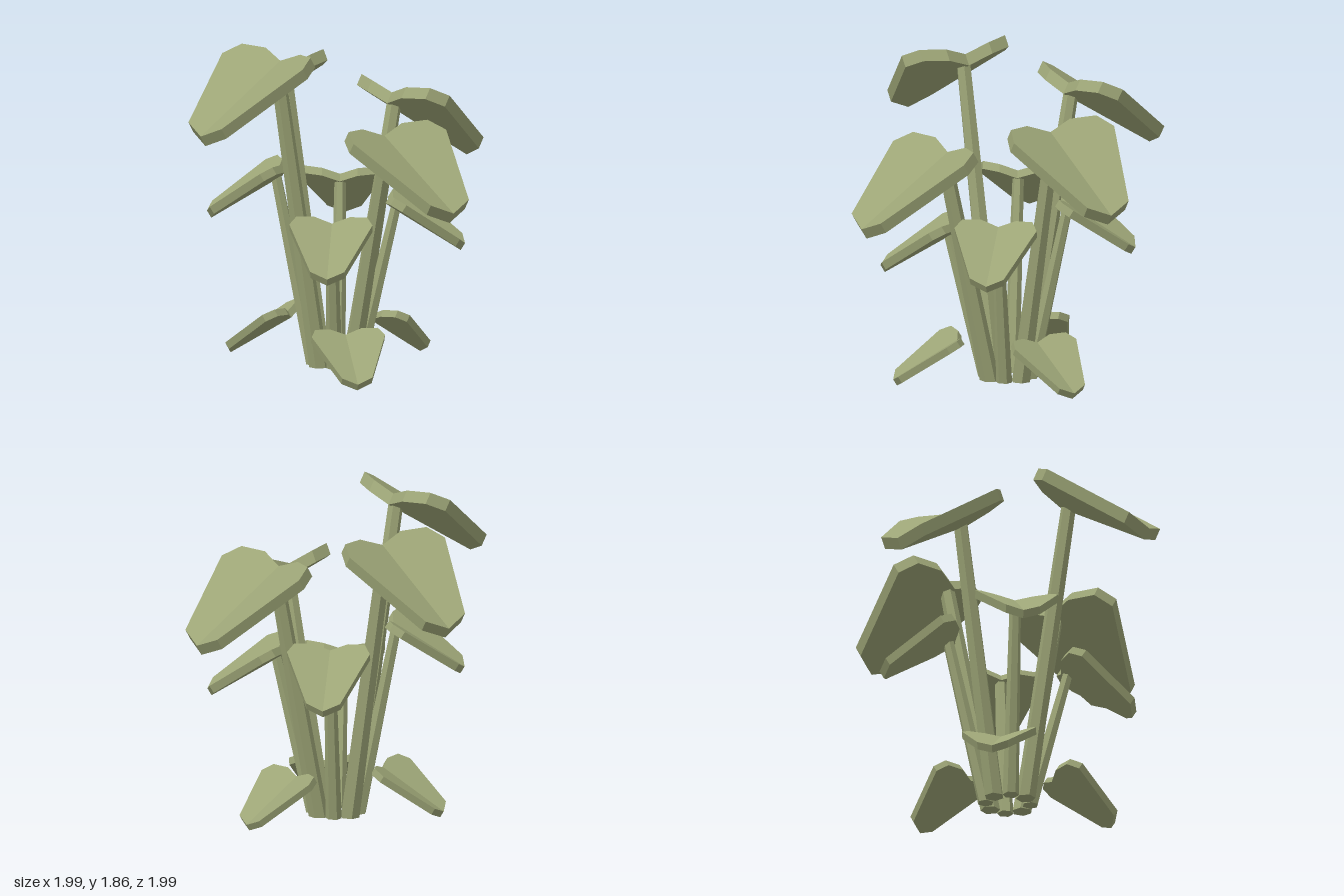
import * as THREE from 'three';

const green = new THREE.MeshStandardMaterial({ color: 0x9ca476, flatShading: true });
green.name = 'sage green';

// Heart leaf folded along its midrib, drooping towards +z; highest point at y = 0
function leafGeometry() {
  const half = [[0, 0.41], [0.145, 0.39], [0.29, 0.44], [0.34, 0.54], [0.14, 0.963], [0, 0.995]];
  const loop = [...half, ...half.slice(1, 5).reverse().map(([x, r]) => [-x, r])];
  const n = loop.length;
  const top = loop.map(([x, r]) => [x, 0.2 - 0.612 * r + 0.27 * Math.abs(x), r]);
  const bottom = top.map(([x, y, r]) => [x, y - 0.058, r - 0.035]);
  const index = [];
  // Both faces fan out from the notch, so the fold runs notch to tip
  for (let i = 1; i < n - 1; i++) {
    index.push(0, i + 1, i, n, n + i, n + i + 1);
  }
  // Rim
  for (let i = 0; i < n; i++) {
    const j = (i + 1) % n;
    index.push(i, j, n + j, i, n + j, n + i);
  }
  const g = new THREE.BufferGeometry();
  g.setAttribute('position', new THREE.Float32BufferAttribute([...top, ...bottom].flat(), 3));
  g.setIndex(index);
  const flat = g.toNonIndexed();
  flat.computeVertexNormals();
  return flat;
}

// Six-sided tapered stem, leaning outward by shear so its base stays level
function stemGeometry(topY, topR, radiusTop, radiusBase) {
  const baseY = 0.05, baseR = 0.125, height = topY - baseY;
  const g = new THREE.CylinderGeometry(radiusTop, radiusBase, height, 6);
  g.rotateY(Math.PI / 6);
  g.translate(0, height / 2, 0);
  const p = g.attributes.position;
  for (let i = 0; i < p.count; i++) {
    p.setZ(i, p.getZ(i) + baseR + (topR - baseR) * p.getY(i) / height);
  }
  g.translate(0, baseY, 0);
  const flat = g.toNonIndexed();
  flat.computeVertexNormals();
  return flat;
}

export function createModel() {
  const model = new THREE.Group();
  model.name = 'leafyPlant';
  const leaf = leafGeometry();

  // One stalk: a leaf whose top is at the given height, with an optional stem
  function addStalk(name, angle, height, scale, offset, stem) {
    const group = new THREE.Group();
    group.name = name;
    group.rotation.y = angle;
    const blade = new THREE.Mesh(leaf, green);
    blade.name = 'leaf';
    blade.scale.setScalar(scale);
    blade.position.set(0, height, offset);
    group.add(blade);
    if (stem) {
      const mesh = new THREE.Mesh(stemGeometry(height - stem.drop, stem.r, stem.top, stem.base), green);
      mesh.name = 'stem';
      group.add(mesh);
    }
    model.add(group);
  }

  const P = Math.PI;
  // Tall stalks on the four axes, stepping up around the plant
  [[0, 1.446], [P / 2, 1.585], [P, 1.723], [-P / 2, 1.862]].forEach(([a, h]) =>
    addStalk('tallStalk', a, h, 1, 0, { drop: 0.1, r: 0.43, top: 0.042, base: 0.055 }));
  // Medium stalks on the diagonals
  [[-P / 4, 0.936], [P / 4, 1.02], [3 * P / 4, 1.1], [-3 * P / 4, 1.185]].forEach(([a, h]) =>
    addStalk('mediumStalk', a, h, 0.68, 0.041, { drop: 0.068, r: 0.335, top: 0.032, base: 0.045 }));
  // Low leaves around the base
  [[-P / 6, 0.298], [P / 2, 0.335], [-5 * P / 6, 0.365]].forEach(([a, h]) =>
    addStalk('lowLeaf', a, h, 0.61, 0.033));

  return model;
}
